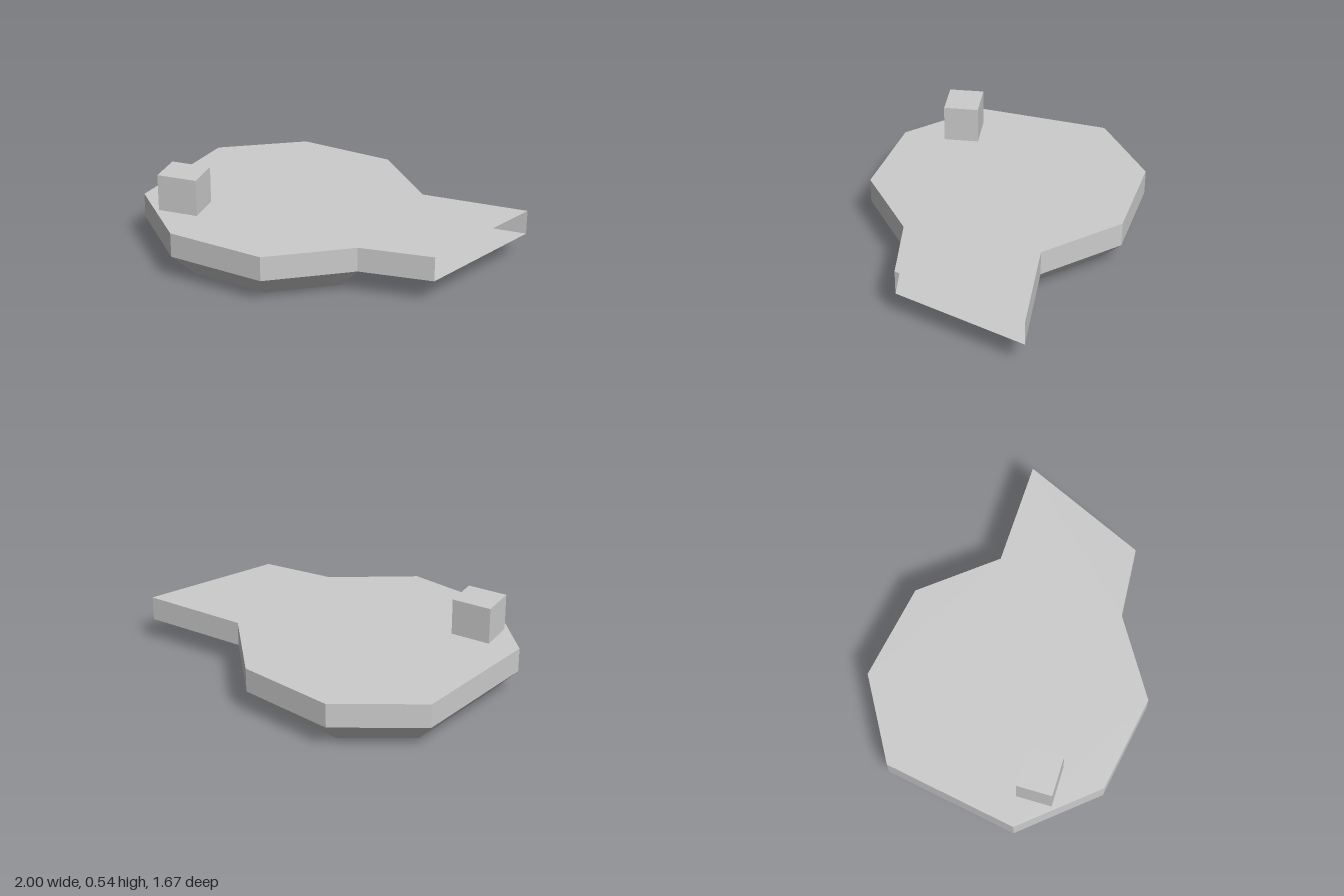
import * as THREE from 'three';

const material = new THREE.MeshStandardMaterial({
  color: 0xcccccc, flatShading: true, side: THREE.DoubleSide,
});

// Outlines as [x, z], counter-clockwise seen from above
const body = [
  [0.41, -0.58], [-0.09, -0.825], [-0.67, -0.67], [-1, -0.2],
  [-0.79, 0.595], [-0.27, 0.835], [0.31, 0.68], [0.615, 0.215],
];
const tail = [[1, 0], [1, -0.84]];
const deckOutline = [tail[1], ...body, tail[0]];
const keel = body.map(([x, z]) => [-0.19 + (x + 0.19) * 0.805, z * 0.81]);

const KEEL_Y = 0, RIM_Y = 0.16, DECK_Y = 0.31, BLOCK_TOP = 0.535;

// Horizontal plate facing up or down
function plate(points, y, up) {
  const s = up ? -1 : 1;
  const shape = new THREE.Shape(points.map(([x, z]) => new THREE.Vector2(x, s * z)));
  return new THREE.ShapeGeometry(shape).rotateX(s * Math.PI / 2).translate(0, y, 0);
}

// Band of quads between a lower and an upper outline
function band(lower, y0, upper, y1, closed) {
  const positions = [];
  const count = closed ? lower.length : lower.length - 1;
  for (let i = 0; i < count; i++) {
    const j = (i + 1) % lower.length;
    const a = [lower[i][0], y0, lower[i][1]];
    const b = [lower[j][0], y0, lower[j][1]];
    const c = [upper[j][0], y1, upper[j][1]];
    const d = [upper[i][0], y1, upper[i][1]];
    positions.push(...a, ...b, ...c, ...a, ...c, ...d);
  }
  const geometry = new THREE.BufferGeometry();
  geometry.setAttribute('position', new THREE.Float32BufferAttribute(positions, 3));
  geometry.computeVertexNormals();
  return geometry;
}

export function createModel() {
  const group = new THREE.Group();
  const add = (name, geometry) => {
    const mesh = new THREE.Mesh(geometry, material);
    mesh.name = name;
    group.add(mesh);
    return mesh;
  };

  // Flat top and its upright rim; the end of the tail stays open
  add('deck', plate(deckOutline, DECK_Y, true));
  add('rim', band(deckOutline, RIM_Y, deckOutline, DECK_Y, false));

  // Underside of the tail
  add('tailFloor', plate([body[0], body[7], ...tail], RIM_Y, false));

  // Tapered hull and its flat bottom
  add('hull', band(keel, KEEL_Y, body, RIM_Y, true));
  add('hullBottom', plate(keel, KEEL_Y, false));

  // Small turned block on the deck
  const height = BLOCK_TOP - DECK_Y;
  const block = add('block', new THREE.BoxGeometry(0.243, height, 0.212));
  block.position.set(-0.488, DECK_Y + height / 2, 0.532);
  block.rotation.y = 0.435;

  return group;
}
